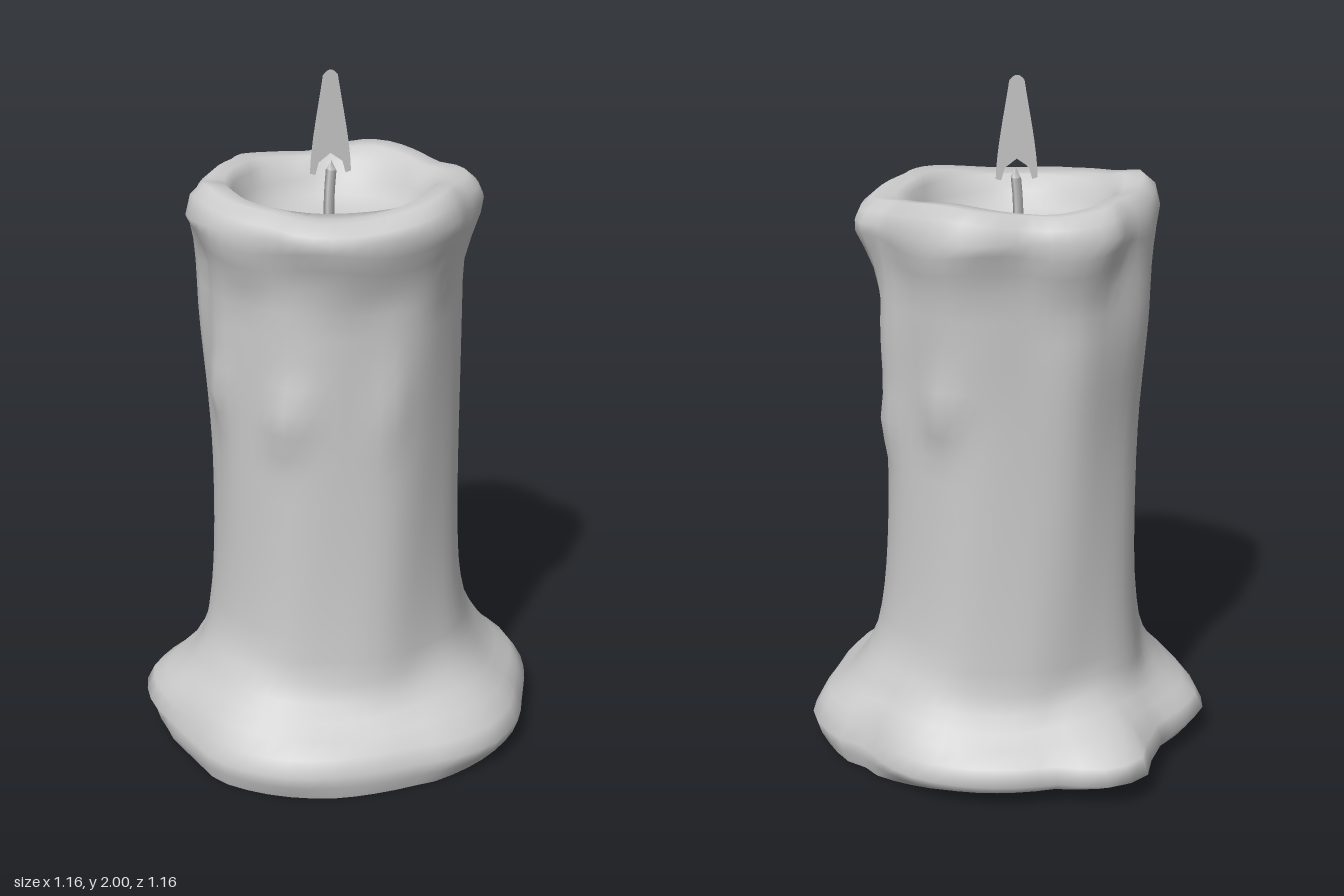
import * as THREE from 'three';

const CX = -0.03, CZ = -0.02, SEGS = 56, TAU = Math.PI * 2;

// Plan outlines as x, z pairs
const BASE = [0.02, -0.58, 0.12, -0.555, 0.24, -0.475, 0.32, -0.475, 0.48, -0.37, 0.53, -0.24, 0.55, -0.12,
  0.58, 0.03, 0.555, 0.18, 0.5, 0.27, 0.36, 0.385, 0.24, 0.48, 0.13, 0.545, 0.03, 0.575, -0.1, 0.575,
  -0.2, 0.55, -0.3, 0.47, -0.4, 0.39, -0.51, 0.3, -0.58, 0.18, -0.54, -0.06, -0.55, -0.19,
  -0.575, -0.28, -0.53, -0.38, -0.36, -0.44, -0.22, -0.53];
const BODY = [0.34, -0.02, 0.243, 0.253, -0.03, 0.365, -0.28, 0.23, -0.395, -0.02, -0.283, -0.273,
  -0.03, -0.395, 0.232, -0.282];
const RIM = [-0.1, -0.465, 0, -0.465, 0.08, -0.44, 0.22, -0.35, 0.31, -0.33, 0.36, -0.22, 0.365, -0.03,
  0.34, 0.2, 0.21, 0.34, 0.08, 0.42, 0.02, 0.425, -0.06, 0.4, -0.2, 0.37, -0.3, 0.32, -0.36, 0.27,
  -0.4, 0.14, -0.43, 0, -0.42, -0.1, -0.42, -0.22, -0.32, -0.33, -0.23, -0.36];
// Ground contact: an ellipse set across the diagonal
const FOOT = [];
for (let i = 0; i < 24; i++) {
  const u = 0.04 + 0.48 * Math.cos((i / 24) * TAU), v = 0.565 * Math.sin((i / 24) * TAU);
  FOOT.push((u + v) * Math.SQRT1_2, (u - v) * Math.SQRT1_2);
}

const wrap = a => ((a % TAU) + TAU) % TAU;
const angleGap = (a, b) => Math.abs(wrap(a - b + Math.PI) - Math.PI);
const bell = d => Math.exp(-d * d);
const mix = THREE.MathUtils.lerp;

// Turns an outline into a radius by angle around the candle axis
function polar(points) {
  const list = [];
  for (let i = 0; i < points.length; i += 2) {
    const x = points[i] - CX, z = points[i + 1] - CZ;
    list.push({ a: wrap(Math.atan2(z, x)), r: Math.hypot(x, z) });
  }
  list.sort((p, q) => p.a - q.a);
  return angle => {
    const a = wrap(angle);
    let k = list.findIndex(p => p.a > a);
    if (k < 0) k = 0;
    const q = list[k], p = list[(k + list.length - 1) % list.length];
    return mix(p.r, q.r, wrap(a - p.a) / wrap(q.a - p.a));
  };
}
const baseR = polar(BASE), shaftR = polar(BODY), rimR = polar(RIM), footR = polar(FOOT);

// Wax runs: angle, height, angular width, height spread, thickness
const DRIPS = [
  [3.2, 1.4, 0.35, 0.25, 0.045], [2.65, 1.4, 0.16, 0.4, 0.03], [3.8, 1.4, 0.25, 0.3, 0.025],
  [2.3, 1.35, 0.22, 0.3, 0.03], [-0.8, 1.32, 0.22, 0.3, 0.03], [1.57, 1.09, 0.16, 0.08, 0.035],
  [-1.5, 1.4, 0.35, 0.2, 0.035], [-1.45, 1.13, 0.16, 0.08, 0.035], [0.8, 1.12, 0.13, 0.12, 0.015],
  [2.3, 1.12, 0.15, 0.08, 0.025], [-0.8, 1.03, 0.15, 0.08, 0.02],
];
// Shaft with its runs, flaring towards the foot
function bodyR(a, y) {
  const flare = 0.6 + 0.4 * Math.cos(2 * a + 1.3) + 0.22 * Math.cos(a);
  let r = shaftR(a) + 0.004 * Math.sin(8 * a + 2.5 * y) + 0.3 * flare * Math.exp(-6 * Math.max(y, 0.27));
  for (const [da, dy, wa, wy, t] of DRIPS) r += t * bell(angleGap(a, da) / wa) * bell((y - dy) / wy);
  return r;
}
const topY = a => 1.69 + 0.008 * Math.sin(4 * a + 1) + 0.03 * bell(angleGap(a, 2.4) / 0.25)
  - 0.025 * bell(angleGap(a, 1.4) / 0.6) + 0.015 * bell(angleGap(a, -1.6) / 0.4);
// Steeper shoulder above the foot at the right and along one diagonal
const steep = a => 0.07 + 0.08 * Math.sin(2 * a) + 0.12 * bell(angleGap(a, Math.PI) / 0.5);

// Cross-sections from the foot up, over the rim and down into the bowl
const rows = [
  a => [Math.min(footR(a), baseR(a) * 0.97), 0],
  a => [mix(footR(a), baseR(a), 0.65), 0.04],
  a => [baseR(a), 0.08],
  a => [baseR(a) * 0.96, 0.125],
];
for (const [y, t] of [[0.165, 0.28], [0.2, 0.56], [0.24, 0.76], [0.29, 0.92]]) {
  rows.push(a => [mix(baseR(a), bodyR(a, y), Math.min(t + steep(a), 1)), y + 0.012 * Math.sin(4 * a)]);
}
for (let y = 0.35; y < 1.42; y += 0.07) rows.push(a => [bodyR(a, y), y]);
for (const [y, t] of [[1.47, 0.18], [1.53, 0.55], [1.58, 0.88]]) {
  rows.push(a => [mix(bodyR(a, y), rimR(a), t + 0.12 * Math.sin(7 * a)), y + 0.012 * Math.sin(6 * a)]);
}
rows.push(
  a => [rimR(a), 1.62],
  a => [rimR(a) - 0.015, topY(a) - 0.03],
  a => [rimR(a) - 0.05, topY(a)],
  a => [mix(rimR(a) - 0.09, 0.3, 0.4), topY(a) - 0.005],
  a => [mix(rimR(a) - 0.1, 0.28, 0.75), 1.665],
  () => [0.268, 1.62],
  () => [0.238, 1.577],
  () => [0.19, 1.55],
  () => [0.1, 1.538],
  () => [0.001, 1.538],
);

function loft() {
  const position = [], index = [];
  rows.forEach((row, i) => {
    for (let j = 0; j < SEGS; j++) {
      const a = (j / SEGS) * TAU, [r, y] = row(a);
      position.push(CX + r * Math.cos(a), y, CZ + r * Math.sin(a));
      if (i === rows.length - 1) continue;
      const p = i * SEGS + j, q = i * SEGS + ((j + 1) % SEGS);
      index.push(p, p + SEGS, q, q, p + SEGS, q + SEGS);
    }
  });
  const g = new THREE.BufferGeometry();
  g.setAttribute('position', new THREE.Float32BufferAttribute(position, 3));
  g.setIndex(index);
  g.computeVertexNormals();
  return g;
}

export function createModel() {
  const group = new THREE.Group();
  const material = new THREE.MeshStandardMaterial({ color: 0xcccccc, side: THREE.DoubleSide });
  const add = (name, geometry) => {
    const mesh = new THREE.Mesh(geometry, material);
    mesh.name = name;
    group.add(mesh);
    return mesh;
  };

  // Melted wax, open underneath
  add('wax', loft());

  // Wick, slightly bent and ending in a point
  const path = new THREE.CatmullRomCurve3([
    new THREE.Vector3(-0.035, 1.52, 0), new THREE.Vector3(-0.035, 1.64, -0.002), new THREE.Vector3(-0.031, 1.715, -0.008),
  ]);
  add('wick', new THREE.TubeGeometry(path, 4, 0.016, 4));
  const tip = add('wickTip', new THREE.ConeGeometry(0.016, 0.03, 4));
  tip.position.set(-0.031, 1.728, -0.009);

  // Flat flame with a notched foot, turned across the diagonal
  const s = new THREE.Shape();
  s.moveTo(0, 0.065);
  s.lineTo(0.035, 0.04);
  s.lineTo(0.045, 0.005);
  s.lineTo(0.061, 0.01);
  s.bezierCurveTo(0.058, 0.1, 0.035, 0.2, 0.022, 0.285);
  s.quadraticCurveTo(0, 0.315, -0.022, 0.285);
  s.bezierCurveTo(-0.035, 0.2, -0.058, 0.1, -0.061, 0.01);
  s.lineTo(-0.045, 0.005);
  s.lineTo(-0.035, 0.04);
  s.closePath();
  const flame = add('flame', new THREE.ShapeGeometry(s, 8));
  flame.position.set(-0.03, 1.7, 0);
  flame.rotation.y = 0.66;
  return group;
}
